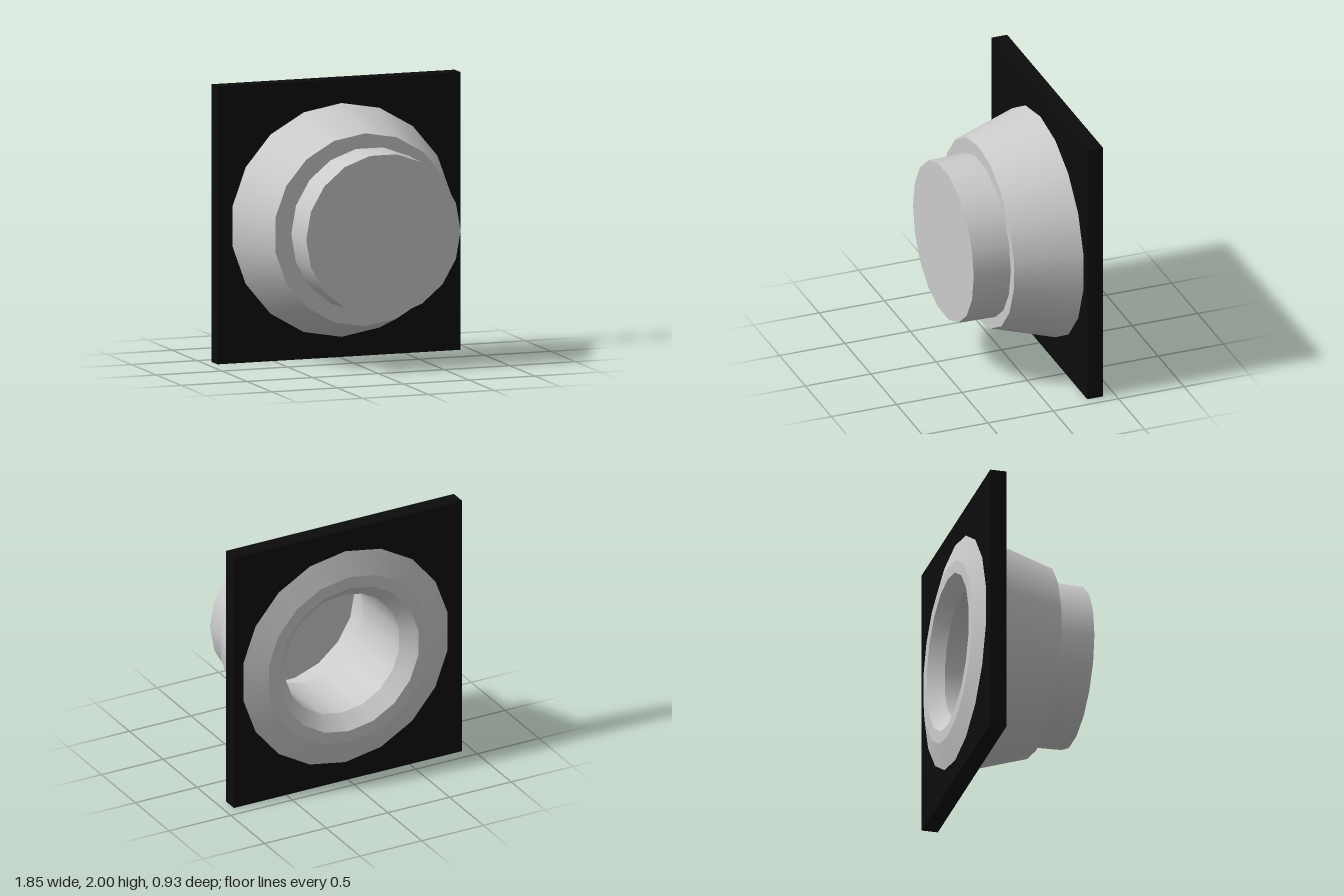
import * as THREE from 'three';
import { mergeGeometries } from 'three/addons/utils/BufferGeometryUtils.js';

const SIDES = 18;

// Turned part along z from [radius, z] pairs; each band is its own lathe so profile edges stay crisp.
function turned(name, profile, x, y, startAngle, material) {
  const bands = [];
  for (let i = 0; i < profile.length - 1; i++) {
    const points = [profile[i], profile[i + 1]].map(([r, z]) => new THREE.Vector2(r, z));
    bands.push(new THREE.LatheGeometry(points, SIDES, startAngle));
  }
  const mesh = new THREE.Mesh(mergeGeometries(bands).rotateX(Math.PI / 2), material);
  mesh.position.set(x, y, 0);
  mesh.name = name;
  return mesh;
}

export function createModel() {
  const model = new THREE.Group();
  model.name = 'flangedPort';
  const grey = new THREE.MeshStandardMaterial({ color: 0xcccccc });
  const thinGrey = new THREE.MeshStandardMaterial({ color: 0xcccccc, side: THREE.DoubleSide });
  const black = new THREE.MeshStandardMaterial({ color: 0x0c0c0c });
  const cx = 0.02, cy = 0.987;

  // Square mounting plate, pierced where the housing passes through
  const outline = new THREE.Shape([
    new THREE.Vector2(-0.925, 0), new THREE.Vector2(0.925, 0),
    new THREE.Vector2(0.925, 2), new THREE.Vector2(-0.925, 2),
  ]);
  outline.holes.push(new THREE.Path().absarc(cx, cy, 0.65, 0, Math.PI * 2, true));
  const plate = new THREE.Mesh(
    new THREE.ExtrudeGeometry(outline, { depth: 0.12, bevelEnabled: false, curveSegments: SIDES }), black);
  plate.position.z = -0.41;
  plate.name = 'mountingPlate';
  model.add(plate);

  // Tapered housing with a bevelled rear rim and a chamfered bore
  model.add(turned('housing', [
    [0.842, -0.41], [0.842, -0.29], [0.695, 0.185], [0.47, 0.185],
    [0.47, -0.36], [0.57, -0.465], [0.66, -0.465], [0.842, -0.41],
  ], cx, cy, 0, grey));

  // Thin hollow barrel, slightly off-centre, closed at the front
  model.add(turned('frontBarrel', [
    [0.595, 0.185], [0.587, 0.465], [0, 0.465],
  ], 0.052, cy, Math.PI / 2, thinGrey));

  return model;
}
